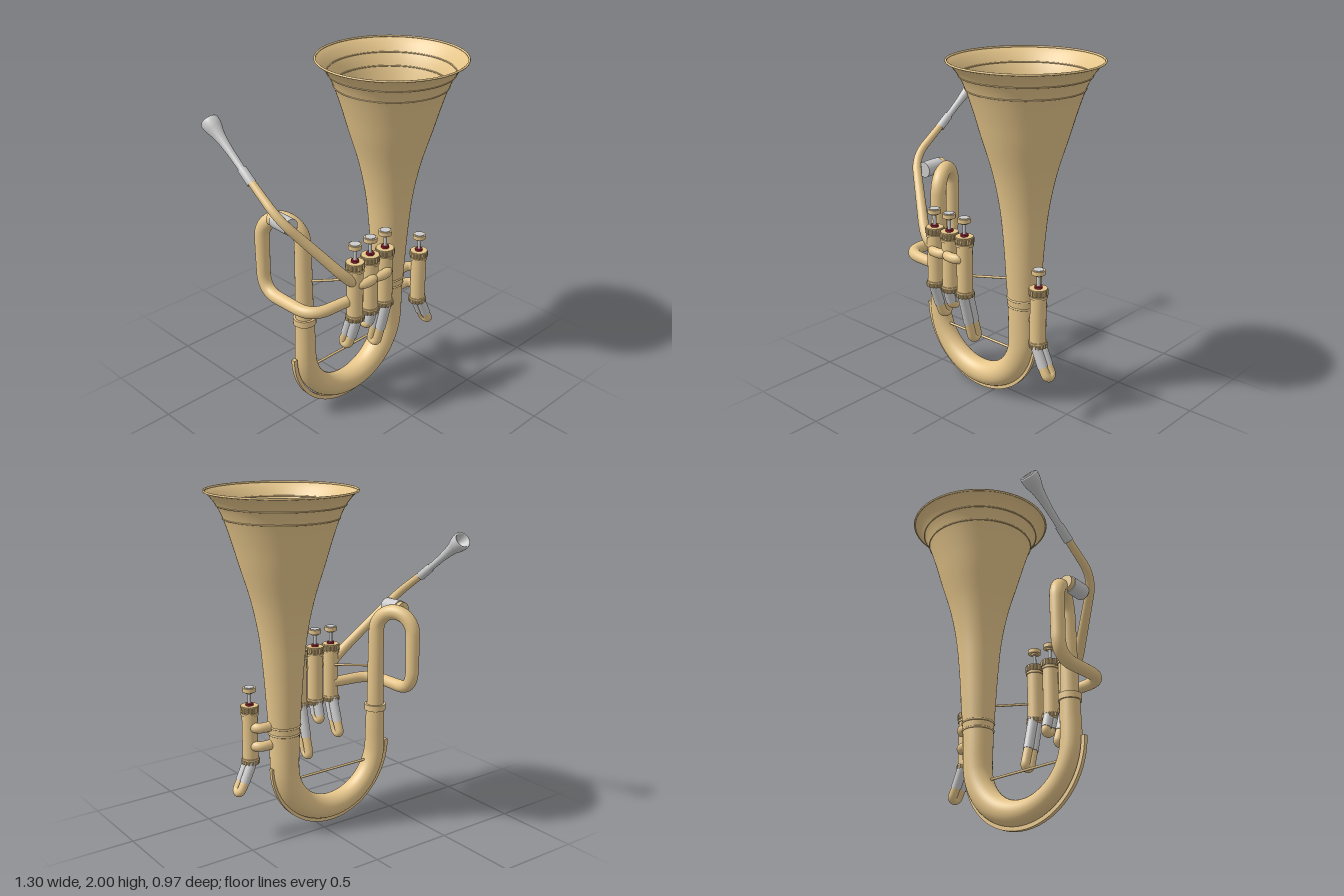
import * as THREE from 'three';

const mat = (color) => new THREE.MeshStandardMaterial({ color, side: THREE.DoubleSide });
const brass = mat(0xe5c58a), silver = mat(0xcccccc), felt = mat(0x8a1c2c);
const V = (x, y, z) => new THREE.Vector3(x, y, z);

function add(parent, name, geometry, material) {
  const mesh = new THREE.Mesh(geometry, material);
  mesh.name = name;
  parent.add(mesh);
  return mesh;
}

// Polyline with its corners rounded off
function roundedPath(points, round) {
  const path = new THREE.CurvePath();
  let from = points[0];
  for (let i = 1; i < points.length - 1; i++) {
    const p = points[i];
    const cut = (q) => {
      const d = q.clone().sub(p);
      return p.clone().addScaledVector(d.clone().normalize(), Math.min(round, d.length() * 0.49));
    };
    const a = cut(points[i - 1]), b = cut(points[i + 1]);
    path.add(new THREE.LineCurve3(from, a));
    path.add(new THREE.QuadraticBezierCurve3(a, p, b));
    from = b;
  }
  path.add(new THREE.LineCurve3(from, points[points.length - 1]));
  return path;
}

// Tube whose radius runs evenly from r0 to r1
function taperedTube(curve, r0, r1 = r0, segments = 64, sides = 20) {
  const geometry = new THREE.TubeGeometry(curve, segments, 1, sides, false);
  const pos = geometry.attributes.position, v = new THREE.Vector3();
  for (let i = 0; i <= segments; i++) {
    const centre = curve.getPointAt(i / segments);
    const r = THREE.MathUtils.lerp(r0, r1, i / segments);
    for (let j = 0; j <= sides; j++) {
      const k = i * (sides + 1) + j;
      v.fromBufferAttribute(pos, k).sub(centre).multiplyScalar(r).add(centre);
      pos.setXYZ(k, v.x, v.y, v.z);
    }
  }
  return geometry;
}

// Straight cylinder between two points
function rod(parent, name, a, b, r, material = brass) {
  const d = b.clone().sub(a);
  const mesh = add(parent, name, new THREE.CylinderGeometry(r, r, d.length(), 24), material);
  mesh.position.copy(a).add(b).multiplyScalar(0.5);
  mesh.quaternion.setFromUnitVectors(V(0, 1, 0), d.normalize());
  return mesh;
}

function disc(parent, name, r, y0, y1, material = brass) {
  return rod(parent, name, V(0, y0, 0), V(0, y1, 0), r, material);
}

// Ring with a toothed edge, for the valve caps
function knurl(parent, name, y0, y1) {
  const shape = new THREE.Shape();
  for (let i = 0; i < 64; i++) {
    const a = (i / 64) * Math.PI * 2, r = i % 4 < 2 ? 0.054 : 0.049;
    shape[i ? 'lineTo' : 'moveTo'](Math.cos(a) * r, Math.sin(a) * r);
  }
  const mesh = add(parent, name, new THREE.ExtrudeGeometry(shape, { depth: y1 - y0, bevelEnabled: false }), brass);
  mesh.rotation.x = -Math.PI / 2;
  mesh.position.y = y0;
}

// Piston valve; its origin is at the bottom of the casing
function valve(name, x, y, z, h, slideEnd) {
  const g = new THREE.Group();
  g.name = name;
  g.position.set(x, y, z);
  disc(g, 'casing', 0.045, 0, h);
  knurl(g, 'bottomCap', 0, 0.022);
  disc(g, 'bottomRing', 0.05, 0.022, 0.032);
  disc(g, 'topRing', 0.051, h - 0.055, h - 0.042);
  knurl(g, 'topCap', h - 0.036, h - 0.006);
  disc(g, 'topLip', 0.05, h - 0.006, h);
  disc(g, 'felt', 0.022, h, h + 0.012, felt);
  disc(g, 'stem', 0.01, h, h + 0.08, silver);
  disc(g, 'buttonCollar', 0.02, h + 0.07, h + 0.082);
  disc(g, 'button', 0.037, h + 0.08, h + 0.104);
  disc(g, 'buttonInlay', 0.029, h + 0.1, h + 0.108, silver);

  // Tuning slide: two silver sleeves joined by a brass U-bend
  const split = slideEnd.clone().multiplyScalar(0.56);
  const half = V(0, 0, 0.022);
  for (const s of [-1, 1]) {
    const o = half.clone().multiplyScalar(s);
    rod(g, 'slideSleeve', o.clone().setY(0.02), split.clone().add(o), 0.029, silver);
  }
  const start = split.clone().multiplyScalar(0.95), bend = [];
  const end = slideEnd.clone().multiplyScalar(1 - 0.048 / slideEnd.length());
  const down = slideEnd.clone().normalize();
  bend.push(start.clone().add(half));
  for (let i = 0; i <= 8; i++) {
    const a = (i / 8) * Math.PI;
    bend.push(end.clone().addScaledVector(half, Math.cos(a)).addScaledVector(down, Math.sin(a) * 0.022));
  }
  bend.push(start.clone().sub(half));
  add(g, 'slideBow', taperedTube(new THREE.CatmullRomCurve3(bend), 0.026, 0.026, 40, 16), brass);
  return g;
}

export function createModel() {
  const model = new THREE.Group();
  model.name = 'brassHorn';

  // Bell
  const profile = [[0.088, 0.62], [0.1, 0.8], [0.114, 1], [0.135, 1.2], [0.175, 1.4], [0.235, 1.6],
    [0.273, 1.73], [0.313, 1.85], [0.347, 1.92], [0.382, 1.967], [0.412, 1.995]];
  const flare = new THREE.SplineCurve(profile.map(([r, y]) => new THREE.Vector2(r, y)));
  const bell = new THREE.Group();
  bell.name = 'bell';
  bell.position.set(0.23, 0, 0.07);
  model.add(bell);
  add(bell, 'flare', new THREE.LatheGeometry(flare.getPoints(60), 72), brass);
  for (const [name, r, y, t] of [['rim', 0.409, 1.994, 0.006], ['upperBead', 0.347, 1.92, 0.004],
    ['lowerBead', 0.313, 1.85, 0.004], ['collarTop', 0.091, 0.675, 0.006], ['collarBottom', 0.088, 0.63, 0.006]]) {
    const ring = add(bell, name, new THREE.TorusGeometry(r, t, 8, 72), brass);
    ring.rotation.x = Math.PI / 2;
    ring.position.y = y;
  }

  // Bottom bow
  const bow = [V(-0.43, 0.66, 0.07), V(-0.43, 0.54, 0.07)];
  for (let i = 0; i <= 16; i++) {
    const a = Math.PI * (1 + i / 16);
    bow.push(V(-0.1 + 0.33 * Math.cos(a), 0.425 + 0.33 * Math.sin(a), 0.07));
  }
  bow.push(V(0.23, 0.54, 0.07), V(0.23, 0.66, 0.07));
  add(model, 'bottomBow', taperedTube(new THREE.CatmullRomCurve3(bow), 0.054, 0.089, 96, 32), brass);

  // Guard strip around the bow
  const strip = new THREE.Shape();
  strip.absarc(0, 0, 0.425, Math.PI, Math.PI * 2, false);
  strip.absarc(0, 0, 0.402, Math.PI * 2, Math.PI, true);
  const guard = add(model, 'bowGuard', new THREE.ExtrudeGeometry(strip,
    { depth: 0.024, bevelEnabled: false, curveSegments: 48 }), brass);
  guard.position.set(-0.1, 0.425, 0.058);

  // Back branch: up, over, down and forward into the first valve
  const branch = [V(-0.43, 0.64, 0.07)];
  for (let i = 0; i <= 10; i++) {
    const a = (i / 10) * Math.PI, t = (1 - Math.cos(a)) / 2;
    branch.push(V(-0.43 - 0.1 * t, 1.13 + 0.122 * Math.sin(a), 0.07 - 0.215 * t));
  }
  branch.push(V(-0.53, 0.79, -0.145), V(-0.53, 0.79, 0.24), V(-0.25, 0.79, 0.26));
  add(model, 'backBranch', taperedTube(roundedPath(branch, 0.12), 0.051, 0.031, 140, 24), brass);
  rod(model, 'branchFerrule', V(-0.43, 0.635, 0.07), V(-0.43, 0.672, 0.07), 0.064);

  // Leadpipe and the receiver holding it
  const lead = [V(-0.6, 1.48, -0.135), V(-0.6, 1.325, 0.085), V(-0.32, 0.955, 0.29), V(-0.25, 0.9, 0.28)];
  add(model, 'leadpipe', taperedTube(roundedPath(lead, 0.1), 0.021, 0.032, 80), brass);
  rod(model, 'leadpipeSocket', V(-0.525, 1.265, -0.03), V(-0.525, 1.262, 0.09), 0.046, silver);
  rod(model, 'socketCollar', V(-0.525, 1.265, -0.06), V(-0.525, 1.265, -0.03), 0.041);

  // Mouthpiece
  const cup = [[0.02, 0], [0.026, 0], [0.025, 0.095], [0.019, 0.1], [0.021, 0.2], [0.026, 0.27], [0.034, 0.325],
    [0.045, 0.36], [0.05, 0.385], [0.051, 0.41], [0.047, 0.418], [0.039, 0.414], [0.034, 0.385], [0.012, 0.35], [0.004, 0.33]];
  const mouthpiece = add(model, 'mouthpiece',
    new THREE.LatheGeometry(cup.map(([r, y]) => new THREE.Vector2(r, y)), 32), silver);
  mouthpiece.position.set(-0.6, 1.465, -0.12);
  mouthpiece.quaternion.setFromUnitVectors(V(0, 1, 0), V(0, 0.255, -0.335).normalize());

  // Three main valves and the side valve
  const xs = [-0.25, -0.135, -0.02];
  const ends = [V(0, -0.22, -0.085), V(0, -0.12, -0.045), V(0, -0.31, -0.085)];
  xs.forEach((x, i) => model.add(valve('valve' + (i + 1), x, 0.675, 0.28, 0.355, ends[i])));
  model.add(valve('sideValve', 0.405, 0.46, 0.155, 0.345, V(0.1, -0.185, 0)));

  // Crossover tubes between the valves
  for (let i = 0; i < 2; i++) {
    const path = roundedPath([V(xs[i], 0.9, 0.27), V(xs[i] + 0.012, 0.9, 0.325),
      V(xs[i + 1] - 0.012, 0.9, 0.325), V(xs[i + 1], 0.9, 0.27)], 0.045);
    add(model, 'valveCrossover', taperedTube(path, 0.028, 0.028, 30, 16), brass);
  }

  // Side valve connections to the bell
  for (const y of [0.68, 0.57]) {
    const path = roundedPath([V(0.26, y, 0.085), V(0.39, y, 0.087), V(0.405, y, 0.155)], 0.04);
    add(model, 'sideValveTube', taperedTube(path, 0.029, 0.029, 24, 16), brass);
  }

  // Thin braces
  rod(model, 'bowBrace', V(-0.4, 0.325, 0.07), V(0.16, 0.325, 0.07), 0.007);
  rod(model, 'bellBrace', V(-0.02, 0.79, 0.26), V(0.18, 0.79, 0.13), 0.007);
  rod(model, 'branchBrace', V(-0.42, 0.905, 0.1), V(-0.25, 0.905, 0.24), 0.007);
  return model;
}
